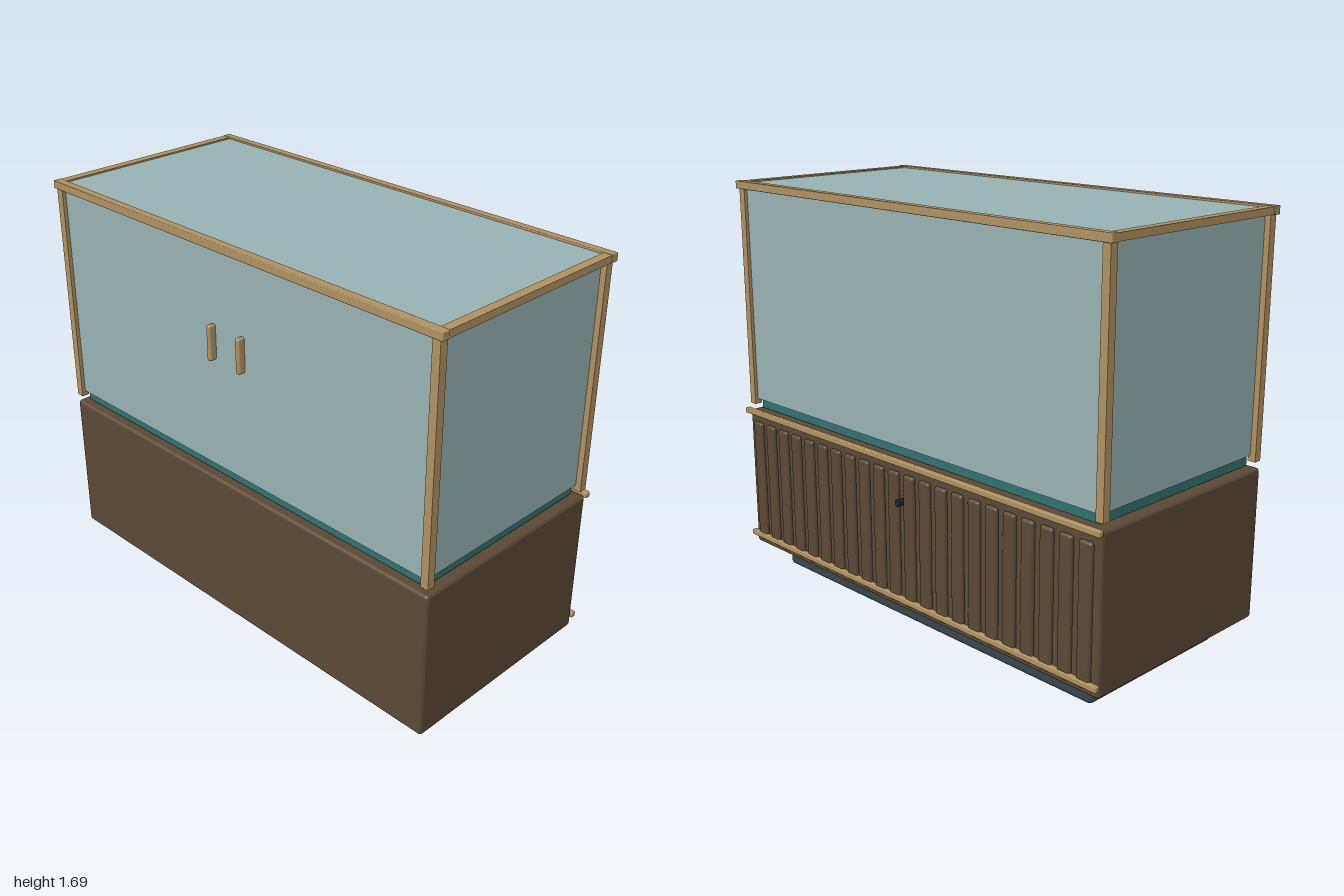
import * as THREE from 'three';
import { RoundedBoxGeometry } from 'three/addons/geometries/RoundedBoxGeometry.js';

const mat = (name, color) => {
  const m = new THREE.MeshStandardMaterial({ color });
  m.name = name;
  return m;
};

export function createModel() {
  const root = new THREE.Group();
  root.name = 'displayCabinet';
  const walnut = mat('walnut', 0x5a4835);
  const oak = mat('oak', 0xb09160);
  const glass = mat('paleGlass', 0x97b1b2);
  const teal = mat('teal', 0x2f726f);
  const slate = mat('slate', 0x37464d);
  const black = mat('black', 0x1e2428);

  // Box given by its minimum and maximum on each axis, optionally rounded
  const box = (name, material, [x0, x1], [y0, y1], [z0, z1], r = 0) => {
    const s = [x1 - x0, y1 - y0, z1 - z0];
    const g = r ? new RoundedBoxGeometry(...s, 3, r) : new THREE.BoxGeometry(...s);
    const m = new THREE.Mesh(g, material);
    m.position.set((x0 + x1) / 2, (y0 + y1) / 2, (z0 + z1) / 2);
    m.name = name;
    root.add(m);
    return m;
  };
  const span = (side, a, b) => (side > 0 ? [a, b] : [-b, -a]);

  // Lower cabinet
  box('plinth', slate, [-0.88, 0.88], [0, 0.125], [-0.355, 0.368], 0.022);
  box('cabinetBody', walnut, [-0.99, 0.99], [0.105, 0.715], [-0.447, 0.46], 0.014);
  box('tankBase', teal, [-0.95, 0.95], [0.722, 0.768], [-0.41, 0.425]);

  // Slatted back with two rails and a knob
  const count = 22, pitch = 1.94 / count;
  for (let i = 0; i < count; i++) {
    const x = (i - (count - 1) / 2) * pitch;
    box('backSlat', walnut, [x - 0.03, x + 0.03], [0.13, 0.67], [-0.461, -0.435], 0.011);
  }
  box('backRailLower', oak, [-0.995, 0.995], [0.14, 0.163], [-0.469, -0.447], 0.004);
  box('backRailUpper', oak, [-0.995, 0.995], [0.702, 0.725], [-0.469, -0.447], 0.004);
  const knob = new THREE.Mesh(new THREE.CylinderGeometry(0.014, 0.014, 0.03, 20), black);
  knob.rotation.x = Math.PI / 2;
  knob.position.set(0, 0.555, -0.459);
  knob.name = 'backKnob';
  root.add(knob);

  // Glass panes
  box('frontGlass', glass, [-0.957, 0.957], [0.765, 1.66], [0.43, 0.442]);
  box('backGlass', glass, [-0.957, 0.957], [0.765, 1.66], [-0.43, -0.418]);
  box('topGlass', glass, [-0.961, 0.961], [1.665, 1.682], [-0.421, 0.431]);

  for (const side of [1, -1]) {
    box('sideGlass', glass, span(side, 0.953, 0.965), [0.765, 1.66], [-0.412, 0.425]);
    // Corner posts
    box('frontPost', oak, span(side, 0.955, 0.988), [0.743, 1.66], [0.425, 0.458]);
    box('backPost', oak, span(side, 0.955, 0.988), [0.743, 1.66], [-0.444, -0.411]);
    // Top side rails
    box('topSideRail', oak, span(side, 0.962, 0.998), [1.66, 1.688], [-0.422, 0.432]);
    // Door handles
    box('doorHandle', oak, span(side, 0.067, 0.089), [1.222, 1.365], [0.44, 0.474], 0.009);
  }

  // Long top rails
  box('topFrontRail', oak, [-1, 1], [1.658, 1.69], [0.43, 0.464], 0.003);
  box('topBackRail', oak, [-1, 1], [1.658, 1.69], [-0.454, -0.42], 0.003);
  return root;
}
